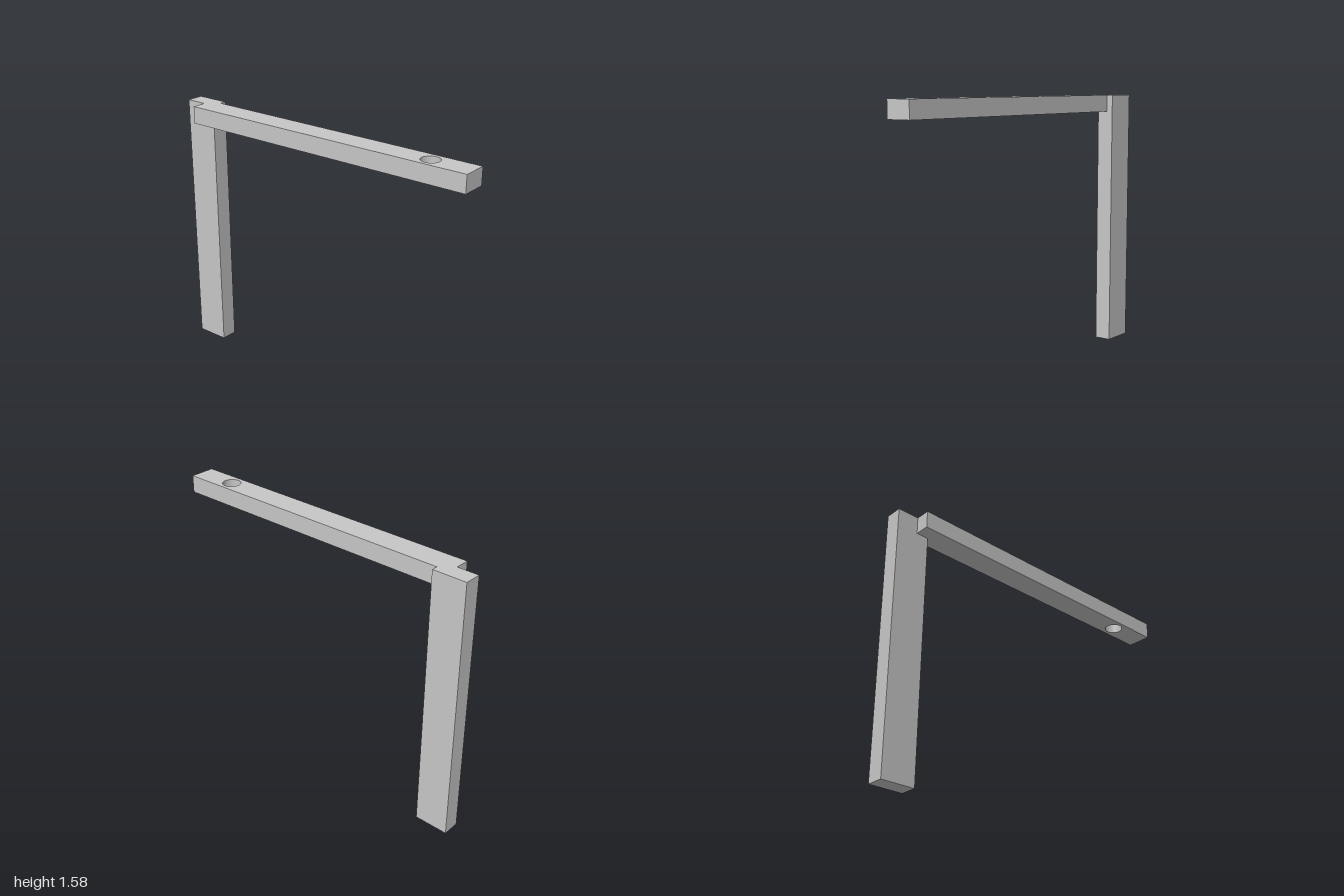
import * as THREE from 'three';

export function createModel() {
  const group = new THREE.Group();
  const grey = new THREE.MeshStandardMaterial({ color: 0xc6c6c6 });
  grey.name = 'light grey';

  const height = 1.58, armThickness = 0.103;

  // Upright post
  const post = new THREE.Mesh(new THREE.BoxGeometry(0.205, height, 0.103), grey);
  post.name = 'post';
  post.position.set(-0.8975, height / 2, -0.0435);
  group.add(post);

  // Horizontal arm: plan outline in [x, z], notched around the post
  const plan = [[-0.87, 0.095], [1, 0.095], [1, -0.057], [-0.795, -0.057], [-0.795, 0.008], [-0.87, 0.008]];
  const outline = new THREE.Shape(plan.map(([x, z]) => new THREE.Vector2(x, -z)));

  // Round through-hole near the free end
  const hole = new THREE.Path();
  hole.absarc(0.743, -0.019, 0.054, 0, Math.PI * 2, true);
  outline.holes.push(hole);

  const armGeometry = new THREE.ExtrudeGeometry(outline, {
    depth: armThickness, bevelEnabled: false, curveSegments: 32,
  });
  armGeometry.rotateX(-Math.PI / 2);
  const arm = new THREE.Mesh(armGeometry, grey);
  arm.name = 'arm';
  arm.position.y = height - armThickness;
  group.add(arm);

  return group;
}
